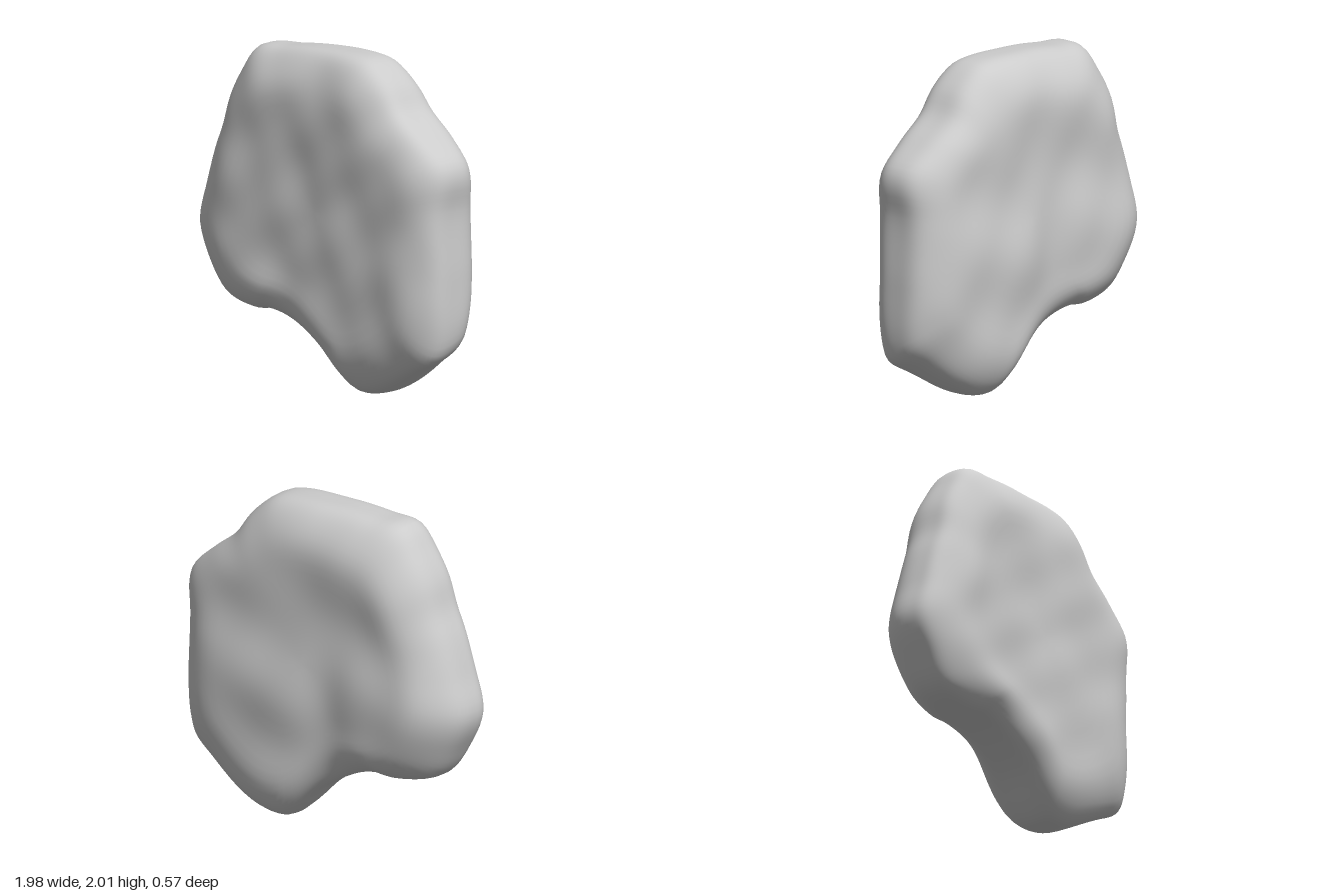
import * as THREE from 'three';
import { mergeVertices } from 'three/addons/utils/BufferGeometryUtils.js';

// Silhouette of the slab, clockwise from the upper left
const OUTLINE = [
  [-0.54, 1.96], [-0.35, 1.98], [-0.1, 2.0], [0.28, 1.995], [0.38, 1.97], [0.53, 1.85], [0.63, 1.705],
  [0.8, 1.575], [0.965, 1.43], [0.99, 1.34], [0.965, 1.15], [0.98, 0.75], [0.975, 0.43],
  [0.94, 0.32], [0.8, 0.22], [0.45, 0.02], [0.28, 0.003], [0.2, 0.06], [0.02, 0.24],
  [-0.24, 0.38], [-0.41, 0.415], [-0.52, 0.4], [-0.77, 0.46], [-0.9, 0.64],
  [-0.992, 0.86], [-0.93, 1.1], [-0.86, 1.32], [-0.79, 1.48], [-0.74, 1.66], [-0.65, 1.82],
];
const CENTRE = new THREE.Vector2(0.05, 1.05);
const AROUND = 144, RINGS = 56;

const bump = (x, y, cx, cy, rx, ry) => Math.exp(-(((x - cx) / rx) ** 2) - ((y - cy) / ry) ** 2);

// Gentle relief: the broad faces sink inside a raised rim
function frontRelief(x, y) {
  return -0.02 * bump(x, y, 0.0, 1.15, 0.45, 0.6)
    - 0.03 * bump(x, y, -0.1, 2.0, 0.3, 0.2)
    + 0.008 * Math.sin(7 * x + 4 * y) * Math.sin(6 * y - 3 * x)
    + 0.006 * Math.sin(13 * x - 5 * y) * Math.sin(11 * y + 3 * x);
}
function backRelief(x, y) {
  return -0.045 * bump(x, y, -0.12, 0.6, 0.18, 0.5)
    - 0.025 * bump(x, y, 0.0, 1.35, 0.4, 0.35)
    + 0.012 * Math.cos(7.85 * (y - 0.85))
    + 0.008 * Math.sin(10 * x - 2 * y + 1) * Math.sin(9 * y + 4 * x);
}

// Average of neighbouring rim points, used where the slab nears its faces
function softened(rim, i) {
  const sum = new THREE.Vector3();
  for (let k = -7; k <= 7; k++) sum.add(rim[(i + k + AROUND) % AROUND]);
  return sum.divideScalar(15);
}

// Rounded cross-section swept round the silhouette, from back to front
function stoneGeometry() {
  const curve = new THREE.CatmullRomCurve3(
    OUTLINE.map(([x, y]) => new THREE.Vector3(x, y, 0)), true, 'centripetal');
  const rim = curve.getSpacedPoints(AROUND).slice(0, AROUND);
  const soft = rim.map((p, i) => softened(rim, i));
  const pos = [], index = [];
  for (let j = 0; j <= RINGS; j++) {
    const phi = (j / RINGS - 0.5) * Math.PI;
    const c = j === 0 || j === RINGS ? 0 : Math.cos(phi), s = Math.sin(phi);
    for (let i = 0; i < AROUND; i++) {
      const p = rim[i].clone().lerp(soft[i], s * s);
      const dx = p.x - CENTRE.x, dy = p.y - CENTRE.y, len = Math.hypot(dx, dy);
      const left = Math.max(0, -dx / len), low = Math.max(0, -dy / len);
      // Sharper edge in front, softer at the left end and behind
      const n = s > 0 ? 3.9 - 0.5 * left : 3.6 - 0.4 * left - 0.2 * low;
      const k = (Math.abs(c) ** n + Math.abs(s) ** n) ** (-1 / n);
      const r = c * k, h = s * k;
      const x = CENTRE.x + dx * r, y = CENTRE.y + dy * r;
      const mid = (0.01 + 0.06 * left) * r;
      const ridge = (0.02 + 0.025 * left) * Math.exp(-(((r - 0.8) / 0.17) ** 2));
      const z = h > 0
        ? mid + h * (0.27 - mid + ridge + frontRelief(x, y))
        : mid + h * (0.27 + mid + ridge + backRelief(x, y));
      // The lower right corner climbs towards the back
      pos.push(x, y - 0.4 * z * bump(x, y, 0.95, 0.32, 0.25, 0.25), z);
    }
  }
  for (let j = 0; j < RINGS; j++) {
    for (let i = 0; i < AROUND; i++) {
      const i2 = (i + 1) % AROUND;
      const a = j * AROUND + i, b = j * AROUND + i2;
      const e = a + AROUND, d = b + AROUND;
      if (j > 0) index.push(a, e, b);
      if (j < RINGS - 1) index.push(e, d, b);
    }
  }
  const raw = new THREE.BufferGeometry();
  raw.setAttribute('position', new THREE.Float32BufferAttribute(pos, 3));
  raw.setIndex(index);
  const geometry = mergeVertices(raw, 1e-5);
  geometry.computeVertexNormals();
  return geometry;
}

export function createModel() {
  const group = new THREE.Group();
  group.name = 'rock';
  const stone = new THREE.Mesh(stoneGeometry(), new THREE.MeshStandardMaterial({ color: 0xcccccc }));
  stone.name = 'stoneSlab';
  group.add(stone);
  return group;
}
